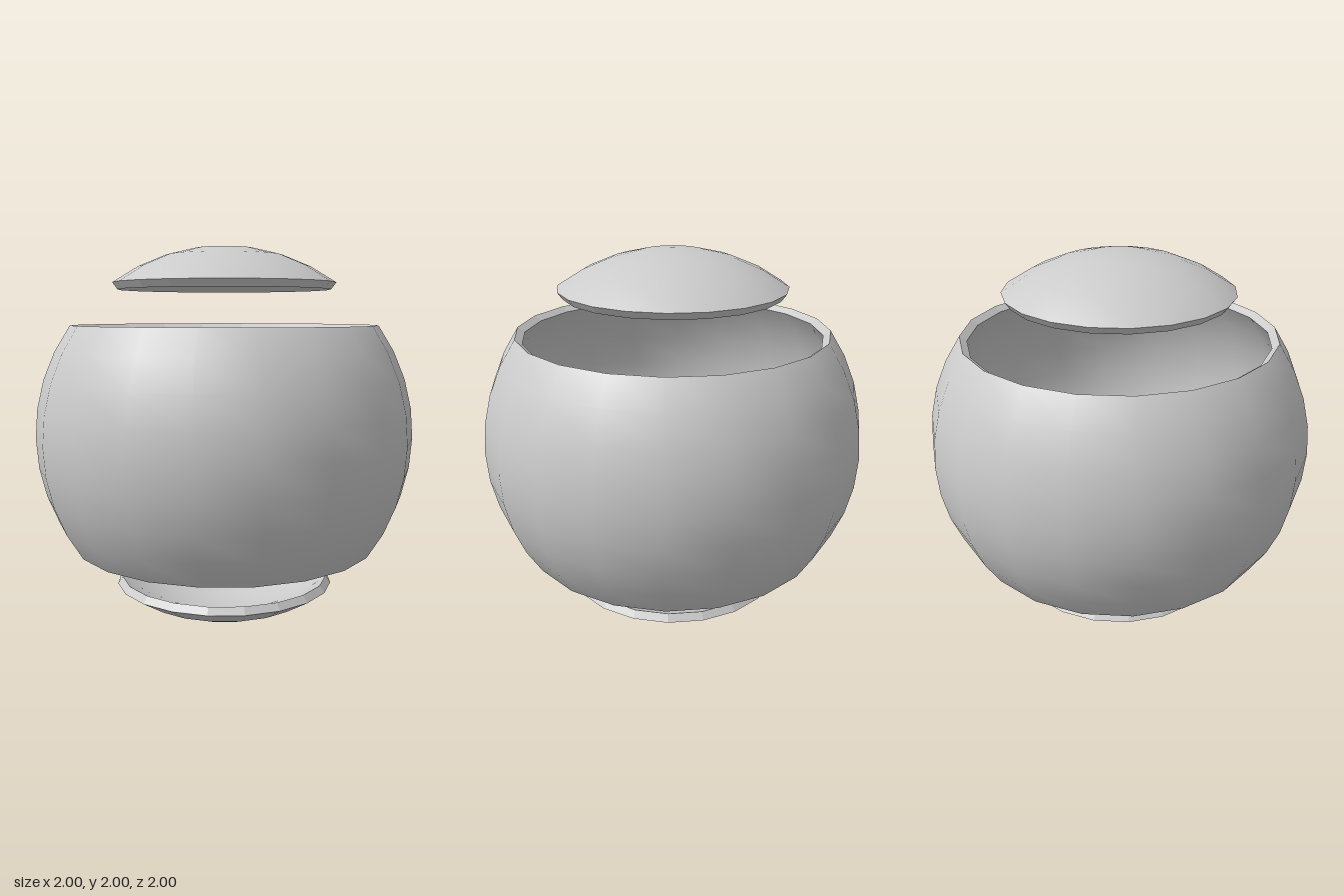
import * as THREE from 'three';
import { mergeGeometries } from 'three/addons/utils/BufferGeometryUtils.js';

const OUTER = 1, INNER = 0.955, SIDES = 20, STEP = 9; // STEP in degrees of latitude

const pointAt = (radius, latitude) => {
  const a = THREE.MathUtils.degToRad(latitude);
  return new THREE.Vector2(Math.max(0, radius * Math.cos(a)), radius * Math.sin(a));
};

// Zone of a sphere; running from a high to a low latitude turns it inward
function zone(radius, from, to) {
  const steps = Math.abs(to - from) / STEP;
  const points = [];
  for (let i = 0; i <= steps; i++) points.push(pointAt(radius, from + (to - from) * i / steps));
  const g = new THREE.LatheGeometry(points, SIDES);
  // exact spherical normals keep the surface smooth
  const p = g.attributes.position, n = g.attributes.normal, v = new THREE.Vector3();
  const sign = to > from ? 1 : -1;
  for (let i = 0; i < p.count; i++) {
    v.fromBufferAttribute(p, i).normalize().multiplyScalar(sign);
    n.setXYZ(i, v.x, v.y, v.z);
  }
  return g.toNonIndexed();
}

// Faceted cut edge joining the outer and inner skins
function rim(latitude, facesUp) {
  const ends = [pointAt(OUTER, latitude), pointAt(INNER, latitude)];
  if (!facesUp) ends.reverse();
  const g = new THREE.LatheGeometry(ends, SIDES).toNonIndexed();
  g.computeVertexNormals();
  return g;
}

// Hollow slice of the ball between two latitudes
function shell(name, low, high, material) {
  const parts = [zone(OUTER, low, high), zone(INNER, high, low)];
  if (high < 90) parts.push(rim(high, true));
  if (low > -90) parts.push(rim(low, false));
  const mesh = new THREE.Mesh(mergeGeometries(parts), material);
  mesh.name = name;
  mesh.position.y = OUTER;
  return mesh;
}

export function createModel() {
  const group = new THREE.Group();
  group.name = 'slicedSphere';
  const material = new THREE.MeshStandardMaterial({ color: 0xcccccc });
  group.add(
    shell('bottomCap', -90, -54, material),
    shell('middleBand', -36, 36, material),
    shell('topCap', 54, 90, material),
  );
  return group;
}
